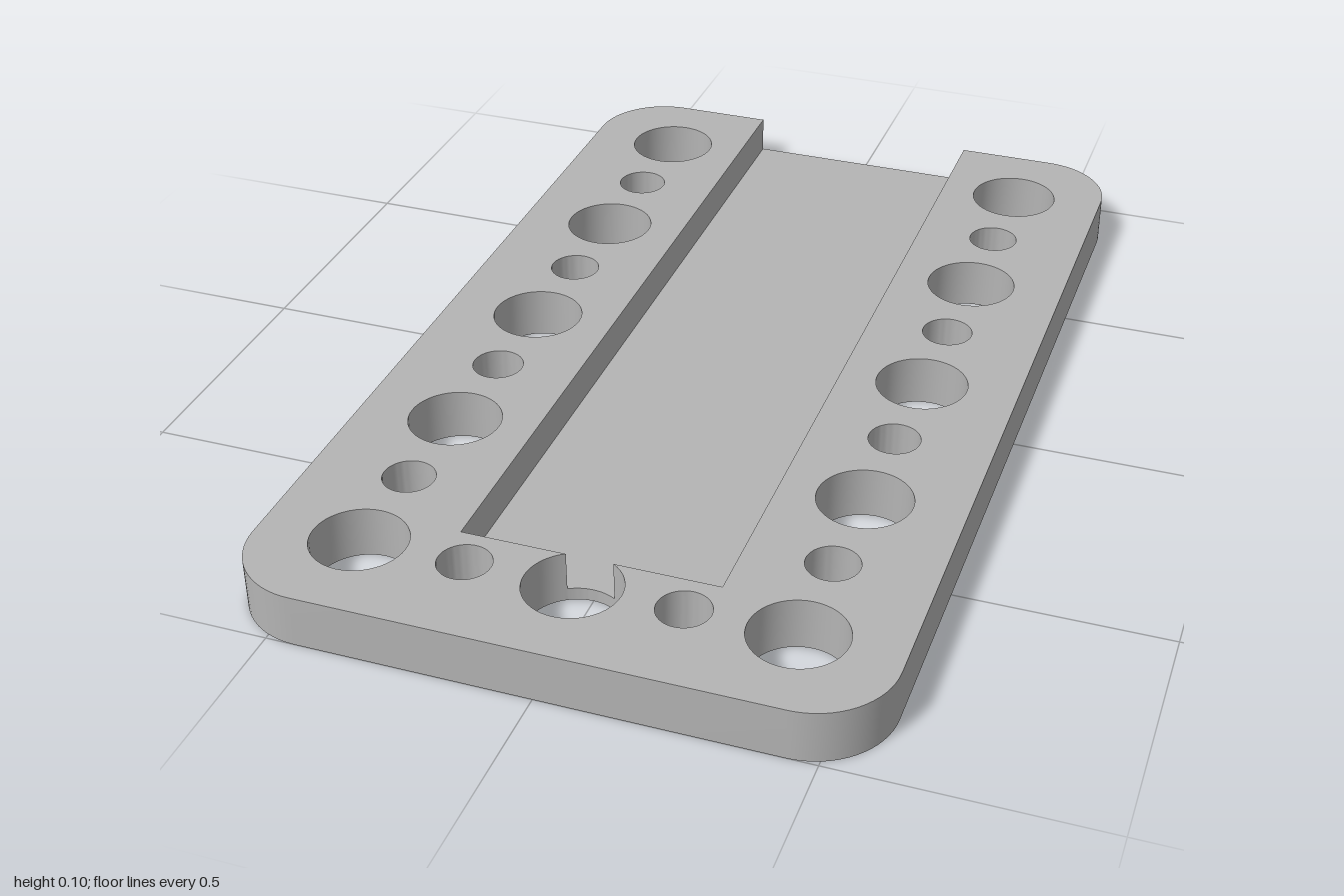
import * as THREE from 'three';
import { toCreasedNormals } from 'three/addons/utils/BufferGeometryUtils.js';

const W = 0.595, L = 1, H = 0.102, FLOOR = 0.025;   // half width, half length, heights
const CORNER = 0.15, CH = 0.245, CH_END = -0.733;   // corner radius, channel half width, channel end
const PITCH = 0.2028, BIG = 0.09, SMALL = 0.05;     // hole grid

// Plan coordinates are (x, s) with s = -z; outlines run with the solid on their left.
const P = (x, s) => new THREE.Vector2(x, s);

function arc(x, s, r, from, to, n) {
  const pts = [];
  for (let i = 0; i <= n; i++) {
    const a = from + (to - from) * i / n;
    pts.push(P(x + r * Math.cos(a), s + r * Math.sin(a)));
  }
  return pts;
}

// Upright wall along a path
function wall(path, y0, y1) {
  const pos = [];
  for (let i = 0; i < path.length - 1; i++) {
    const a = path[i], b = path[i + 1];
    pos.push(a.x, y0, -a.y, b.x, y0, -b.y, b.x, y1, -b.y);
    pos.push(a.x, y0, -a.y, b.x, y1, -b.y, a.x, y1, -a.y);
  }
  const g = new THREE.BufferGeometry();
  g.setAttribute('position', new THREE.Float32BufferAttribute(pos, 3));
  return toCreasedNormals(g, 0.5);
}

// Flat face at a height, facing up or down
function face(outline, holes, y, down = false) {
  const shape = new THREE.Shape(outline);
  shape.holes = holes.map(h => new THREE.Path(h));
  const g = new THREE.ShapeGeometry(shape);
  g.rotateX(-Math.PI / 2).translate(0, y, 0);
  if (down) {
    g.index.array.reverse();
    g.computeVertexNormals();
  }
  return g;
}

export function createModel() {
  const group = new THREE.Group();
  const grey = new THREE.MeshStandardMaterial({ color: 0xb4b4b4 });
  grey.name = 'grey';
  const add = (name, geometry) => {
    const mesh = new THREE.Mesh(geometry, grey);
    mesh.name = name;
    group.add(mesh);
  };

  // Rounded outer edge, open at the back between the channel sides
  const q = Math.PI / 2, cx = W - CORNER, cs = L - CORNER;
  const rim = [
    P(-CH, L),
    ...arc(-cx, cs, CORNER, q, 2 * q, 16),
    ...arc(-cx, -cs, CORNER, 2 * q, 3 * q, 16),
    ...arc(cx, -cs, CORNER, 3 * q, 4 * q, 16),
    ...arc(cx, cs, CORNER, 0, q, 16),
    P(CH, L),
  ];

  // Holes: alternating big and small down both sides, small pair at the front
  const holes = [];
  const hole = (x, s, r) => holes.push(arc(x, s, r, 2 * Math.PI, 0, 48));
  for (const side of [-1, 1]) {
    for (let i = -4; i <= 4; i++) hole(side * 2 * PITCH, i * PITCH, i % 2 ? SMALL : BIG);
    hole(side * PITCH, -4 * PITCH, SMALL);
  }

  // Front middle hole, which breaks into the channel end
  const ms = -4 * PITCH;
  const a = Math.asin((CH_END - ms) / BIG);
  const notch = arc(0, ms, BIG, a, -Math.PI - a, 40);
  const bite = arc(0, ms, BIG, Math.PI - a, a, 16);
  const middle = [...notch, ...bite.slice(1)];

  const channelRight = [P(CH, L), P(CH, CH_END), notch[0]];
  const channelLeft = [notch[notch.length - 1], P(-CH, CH_END), P(-CH, L)];

  // Flat faces
  add('topFace', face([...rim, ...channelRight.slice(1, 2), ...notch, P(-CH, CH_END)], holes, H));
  add('channelFloor', face([P(-CH, L), P(-CH, CH_END), ...bite, P(CH, CH_END), P(CH, L)], [], FLOOR));
  add('bottomFace', face(rim, [...holes, middle], 0, true));

  // Walls
  add('outerEdge', wall(rim, 0, H));
  add('channelSill', wall([P(CH, L), P(-CH, L)], 0, FLOOR));
  add('channelRightWall', wall(channelLeft, FLOOR, H));
  add('channelLeftWall', wall(channelRight, FLOOR, H));
  add('middleHoleWall', wall(notch, 0, H));
  add('middleHoleLip', wall(bite, 0, FLOOR));
  holes.forEach(h => add('holeWall', wall(h, 0, H)));

  return group;
}
